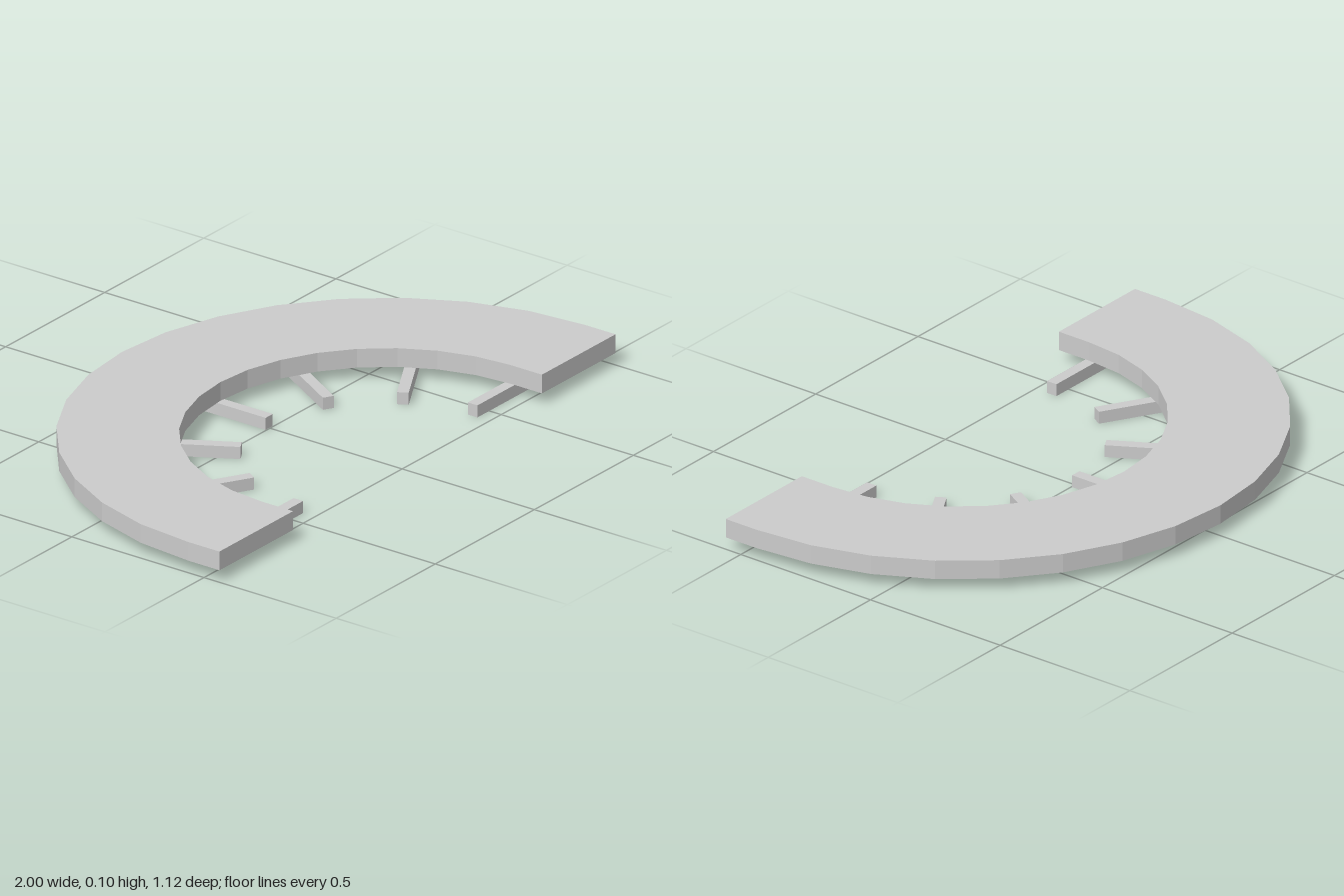
import * as THREE from 'three';

const CENTRE_Z = 0.44; // centre of the arc
const END_Z = 0.558; // front edge of the straight ends
const OUTER = 1, INNER = 0.628;
const SEGMENTS = 16;

// Half-circle points, from +x over the back to -x
function arcPoints(radius) {
  const points = [];
  for (let i = 0; i <= SEGMENTS; i++) {
    const a = (i / SEGMENTS) * Math.PI;
    points.push(new THREE.Vector2(radius * Math.cos(a), radius * Math.sin(a) - CENTRE_Z));
  }
  return points;
}

export function createModel() {
  const model = new THREE.Group();
  model.name = 'archedSlab';
  const grey = new THREE.MeshStandardMaterial({ color: 0xcccccc });
  grey.name = 'light grey';

  // Horseshoe slab with short straight ends
  const outline = new THREE.Shape([
    new THREE.Vector2(OUTER, -END_Z),
    ...arcPoints(OUTER),
    new THREE.Vector2(-OUTER, -END_Z),
    new THREE.Vector2(-INNER, -END_Z),
    ...arcPoints(INNER).reverse(),
    new THREE.Vector2(INNER, -END_Z),
  ]);
  const slabGeometry = new THREE.ExtrudeGeometry(outline, { depth: 0.062, bevelEnabled: false });
  slabGeometry.rotateX(-Math.PI / 2).translate(0, 0.04, 0);
  const slab = new THREE.Mesh(slabGeometry, grey);
  slab.name = 'slab';
  model.add(slab);

  // Seven radial bars under the inner edge
  const barGeometry = new THREE.BoxGeometry(0.372, 0.04, 0.036);
  barGeometry.translate(0.626, 0.02, 0);
  for (let i = 0; i < 7; i++) {
    const bar = new THREE.Mesh(barGeometry, grey);
    bar.name = `supportBar${i + 1}`;
    bar.position.z = CENTRE_Z - 0.003;
    bar.rotation.y = (i * Math.PI) / 6;
    model.add(bar);
  }
  return model;
}
